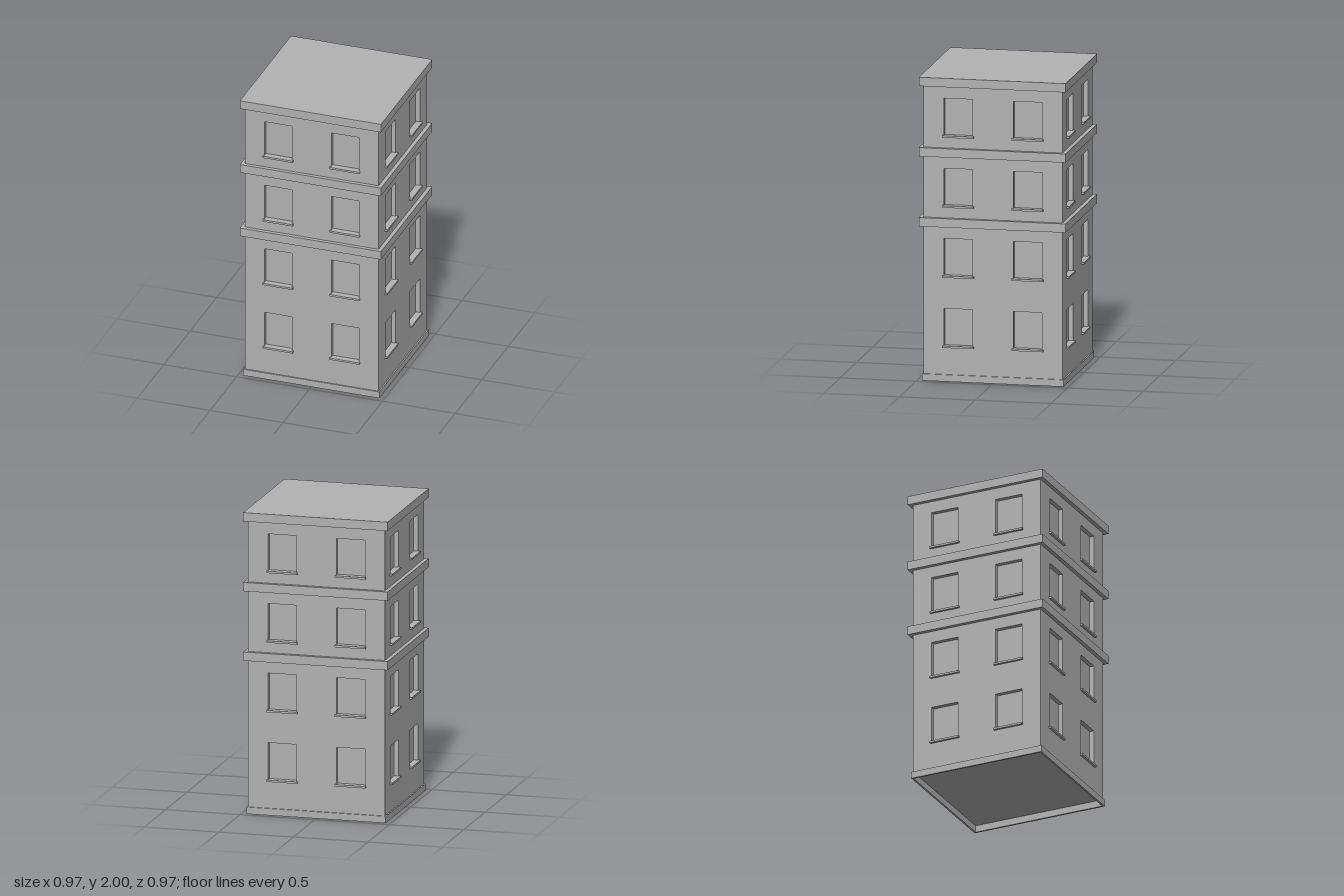
import * as THREE from 'three';

const WALL = 0.458;      // half width of the walls
const RECESS = 0.03;     // depth of the window niches
const BASE = 0.045;      // top of the plinth, underside of the walls
const TOP = 1.95;
const STOREY = 0.4615;
const WINDOW_X = 0.229;

const stone = new THREE.MeshStandardMaterial({ color: 0xb2b2b2 });
stone.name = 'grey stone';

function add(parent, name, geometry, x = 0, y = 0, z = 0) {
  const mesh = new THREE.Mesh(geometry, stone);
  mesh.name = name;
  mesh.position.set(x, y, z);
  parent.add(mesh);
  return mesh;
}

function rectangle(target, x0, y0, x1, y1) {
  target.moveTo(x0, y0);
  target.lineTo(x1, y0);
  target.lineTo(x1, y1);
  target.lineTo(x0, y1);
  target.closePath();
  return target;
}

// One facade: a wall slab pierced by windows, with sills
function facade(name, halfWidth) {
  const group = new THREE.Group();
  group.name = name;
  const shape = rectangle(new THREE.Shape(), -halfWidth, BASE, halfWidth, TOP);
  for (let floor = 0; floor < 4; floor++) {
    const y = floor * STOREY;
    for (const side of [-1, 1]) {
      const x = side * WINDOW_X;
      shape.holes.push(rectangle(new THREE.Path(), x - 0.095, y + 0.229, x + 0.095, y + 0.479));
      add(group, 'windowSill', new THREE.BoxGeometry(0.206, 0.013, 0.044), x, y + 0.229, 0.452);
    }
  }
  const slab = new THREE.ExtrudeGeometry(shape, { depth: RECESS, bevelEnabled: false });
  add(group, 'wall', slab, 0, 0, WALL - RECESS);
  return group;
}

export function createModel() {
  const model = new THREE.Group();
  model.name = 'apartmentTower';

  // Core whose faces form the backs of the window niches
  const core = 2 * (WALL - RECESS);
  add(model, 'core', new THREE.BoxGeometry(core, TOP - BASE, core), 0, (TOP + BASE) / 2, 0);

  // Four facades; the side pair fits between the front and back
  ['frontFacade', 'leftFacade', 'backFacade', 'rightFacade'].forEach((name, i) => {
    const side = facade(name, i % 2 ? WALL - RECESS : WALL);
    side.rotation.y = i * Math.PI / 2;
    model.add(side);
  });

  // Plinth ring, open underneath
  const ring = rectangle(new THREE.Shape(), -0.467, -0.467, 0.467, 0.467);
  ring.holes.push(rectangle(new THREE.Path(), -0.454, -0.454, 0.454, 0.454));
  const plinth = new THREE.ExtrudeGeometry(ring, { depth: BASE, bevelEnabled: false });
  plinth.rotateX(-Math.PI / 2);
  add(model, 'plinth', plinth);

  // Two string courses and the roof cornice
  [1.047, 1.508, 1.971].forEach((y, i) => {
    add(model, i === 2 ? 'roofCornice' : 'stringCourse', new THREE.BoxGeometry(0.968, 0.058, 0.968), 0, y, 0);
  });

  return model;
}
